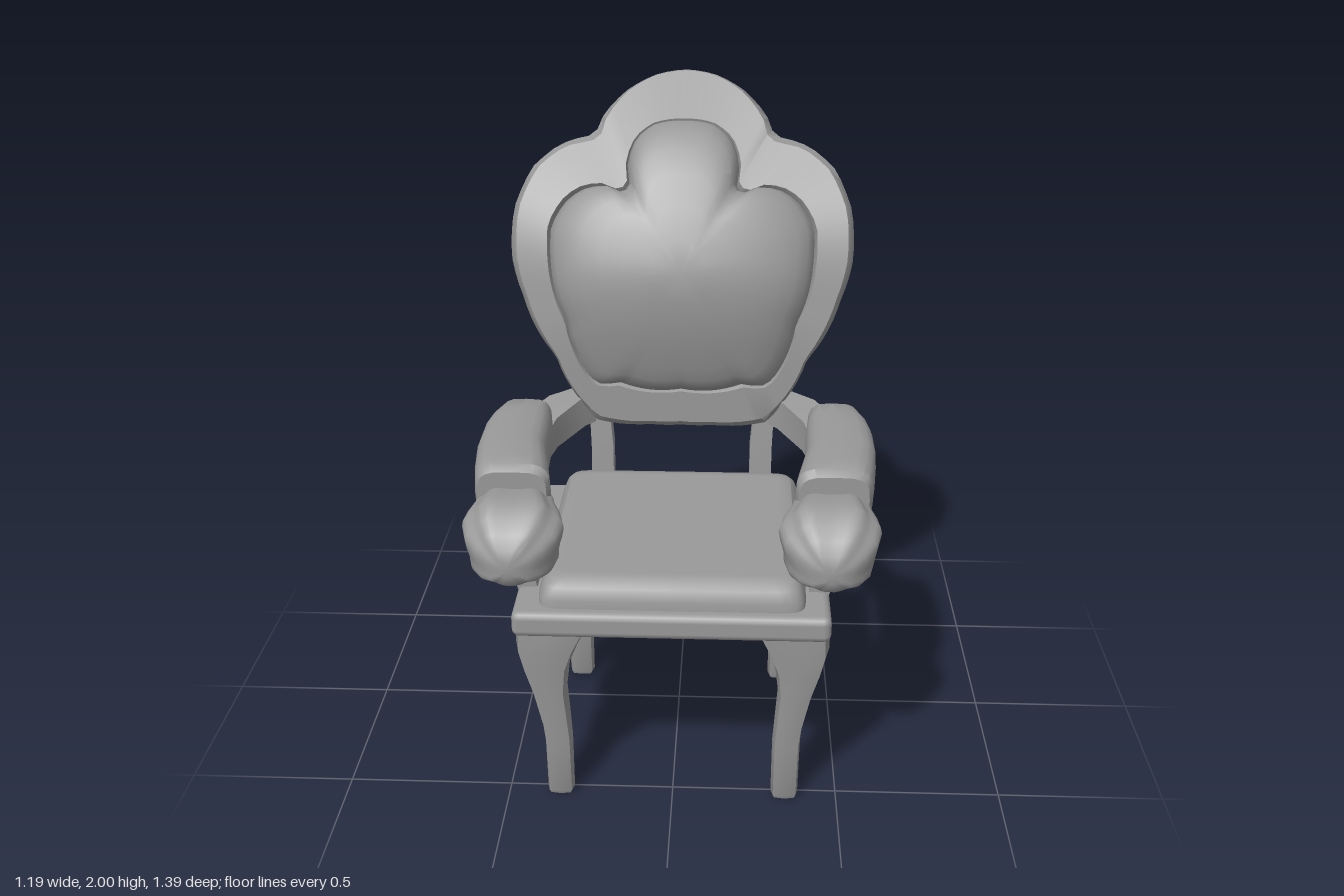
import * as THREE from 'three';
import { toCreasedNormals } from 'three/addons/utils/BufferGeometryUtils.js';
import { RoundedBoxGeometry } from 'three/addons/geometries/RoundedBoxGeometry.js';

const material = new THREE.MeshStandardMaterial({ color: 0x999999 });

function add(group, name, geometry) {
  const mesh = new THREE.Mesh(geometry, material);
  mesh.name = name;
  group.add(mesh);
}

// Skins a grid of rows (each row a closed ring of Vector3), skipping collapsed triangles
function skin(rows, crease = 0.6) {
  const pos = [];
  const tri = (a, b, c) => {
    const close = (p, q) => p.distanceToSquared(q) < 1e-10;
    if (!close(a, b) && !close(b, c) && !close(a, c)) for (const p of [a, b, c]) pos.push(p.x, p.y, p.z);
  };
  for (let i = 0; i + 1 < rows.length; i++) {
    const n = rows[i].length;
    for (let j = 0; j < n; j++) {
      const k = (j + 1) % n;
      tri(rows[i][j], rows[i][k], rows[i + 1][k]);
      tri(rows[i][j], rows[i + 1][k], rows[i + 1][j]);
    }
  }
  const g = new THREE.BufferGeometry();
  g.setAttribute('position', new THREE.Float32BufferAttribute(pos, 3));
  return toCreasedNormals(g, crease);
}

// Rounded-square outline: e = 1 is a circle, near 0 a square
function outline(n, e, lobes = 0) {
  return Array.from({ length: n }, (_, i) => {
    const t = (i / n) * Math.PI * 2;
    const f = (v) => (Math.abs(v) < 1e-6 ? 0 : Math.sign(v) * Math.abs(v) ** e);
    const r = 1 + lobes * Math.cos(7 * (t + Math.PI / 2));
    return [f(Math.cos(t)) * r, f(Math.sin(t)) * r];
  });
}

// Capped loft of sections [x, y, z, halfWidth, halfDepth], running along z or y
function loft(sections, shape, axis, side = 1, crease = 0.6) {
  const ring = ([x, y, z, w, h]) => shape.map(([a, b]) => (axis === 'z'
    ? new THREE.Vector3(side * x + a * w, y + b * h, z)
    : new THREE.Vector3(side * x + a * w, y, z - b * h)));
  const cap = ([x, y, z]) => ring([x, y, z, 0, 0]);
  return skin([cap(sections[0]), ...sections.map(ring), cap(sections.at(-1))], crease);
}

// Half outlines of the backrest, from top centre to bottom centre
const CENTRE = 1.42;
const OUTER = [[0, 1.925], [0.1, 1.912], [0.19, 1.875], [0.26, 1.82], [0.285, 1.77], [0.4, 1.745], [0.48, 1.69],
  [0.53, 1.59], [0.535, 1.46], [0.5, 1.35], [0.4, 1.165], [0.315, 1.0], [0.28, 0.95], [0.1, 0.935], [0, 0.935]];
const INNER = [[0, 1.785], [0.1, 1.775], [0.15, 1.745], [0.175, 1.69], [0.165, 1.63], [0.19, 1.615], [0.25, 1.635],
  [0.32, 1.625], [0.37, 1.595], [0.41, 1.54], [0.41, 1.45], [0.36, 1.28], [0.29, 1.1], [0.25, 1.075],
  [0.2, 1.09], [0.1, 1.065], [0, 1.07]];

// Radius of an outline at an angle measured from straight up
function radius(points, angle) {
  const polar = points.map(([x, y]) => [Math.atan2(x, y - CENTRE), Math.hypot(x, y - CENTRE)]);
  const i = Math.max(1, polar.findIndex((p) => p[0] >= angle - 1e-9));
  const [a0, r0] = polar[i - 1], [a1, r1] = polar[i];
  return r0 + (r1 - r0) * (angle - a0) / (a1 - a0);
}

// Places a point of the backrest on its backward-curving sheet, d in front of it
function bend(x, y, d) {
  const k = Math.max(0, y - 1.1), t = 2 * k ** 1.6, l = Math.hypot(1, t);
  return new THREE.Vector3(x, y + d * t / l, -0.21 - 0.77 * k ** 2.6 + d / l);
}

// Thickness factors: the frame swells towards its crest, the panel is domed
const step = THREE.MathUtils.smoothstep;
const crest = (x, y) => 1 + 0.45 * step(y, 1.3, 1.6) + 0.35 * step(y, 1.72, 1.92);
const dome = (x, y) => (0.62 + 0.44 * step(y, 1.08, 1.45)) * (1 - 1.8 * x * x);
const rear = (y) => 1 + 0.4 * step(y, 1.1, 1.35);

// Backrest surface from rings [u, d]: u 0..1 spans centre to inner outline, 1..2 inner to outer
function backSurface(rings, swell) {
  const N = 96;
  return skin(rings.map(([u, d]) => Array.from({ length: N }, (_, j) => {
    const t = (j / N) * Math.PI * 2;
    const a = Math.min(t, Math.PI * 2 - t);
    const inner = radius(INNER, a);
    const r = u <= 1 ? inner * u : inner + (radius(OUTER, a) - inner) * (u - 1);
    const x = r * Math.sin(t), y = CENTRE + r * Math.cos(a);
    return bend(x, y, d * (d > 0 ? swell(x, y) : rear(y)));
  })), 0.7);
}

export function createModel() {
  const chair = new THREE.Group();
  chair.name = 'armchair';
  const square = outline(8, 0.01), octagon = outline(8, 0.5), soft = outline(20, 0.55);

  // Seat board and cushion
  const board = new RoundedBoxGeometry(0.92, 0.08, 0.87, 2, 0.022);
  board.translate(0, 0.635, 0.183);
  add(chair, 'seatBoard', board);
  add(chair, 'seatCushion', loft([
    [0, 0.66, 0.18, 0.39, 0.405], [0, 0.7, 0.18, 0.388, 0.403], [0, 0.735, 0.18, 0.375, 0.39],
    [0, 0.753, 0.18, 0.36, 0.372], [0, 0.76, 0.18, 0.335, 0.345], [0, 0.76, 0.18, 0.32, 0.33],
  ], outline(32, 0.12), 'y'));

  // Backrest frame and padded panel
  add(chair, 'backFrame', backSurface([
    [1, 0.045], [1.08, 0.065], [1.85, 0.065], [2, 0.045], [2, -0.012], [1.92, -0.045],
    [1.7, -0.072], [1.35, -0.075], [1.1, -0.06], [1, -0.03], [1, 0.045],
  ], crest));
  add(chair, 'backCushion', backSurface([
    [0, 0.19], [0.2, 0.19], [0.4, 0.19], [0.6, 0.188], [0.75, 0.182], [0.87, 0.17], [0.95, 0.147], [1, 0.11],
    [1, -0.025], [0.9, -0.04], [0.75, -0.045], [0.5, -0.048], [0.25, -0.05], [0, -0.05],
  ], dome));

  for (const side of [1, -1]) {
    const label = side > 0 ? 'left' : 'right';

    // Curved legs
    for (const [end, z] of [['Front', 0.517], ['Rear', -0.153]]) {
      add(chair, label + end + 'Leg', loft([
        [0.342, 0, z, 0.035, 0.027], [0.342, 0.012, z, 0.041, 0.032], [0.344, 0.2, z, 0.042, 0.047],
        [0.349, 0.26, z, 0.043, 0.053], [0.366, 0.38, z, 0.052, 0.063], [0.374, 0.46, z, 0.07, 0.07],
        [0.37, 0.525, z, 0.092, 0.075], [0.35, 0.6, z, 0.112, 0.078],
      ], octagon, 'y', side));
    }

    // Posts carrying the arms and the backrest
    add(chair, label + 'ArmPost', loft([
      [0.42, 0.64, 0.42, 0.03, 0.037], [0.465, 0.79, 0.42, 0.032, 0.037], [0.485, 0.91, 0.42, 0.034, 0.037],
    ], square, 'y', side));
    add(chair, label + 'BackPost', loft([
      [0.26, 0.64, -0.21, 0.036, 0.034], [0.26, 0.84, -0.22, 0.036, 0.032],
      [0.265, 0.92, -0.228, 0.034, 0.032], [0.275, 1.0, -0.235, 0.03, 0.032],
    ], square, 'y', side));

    // Arm rail, pad and lobed hand rest
    add(chair, label + 'ArmRail', loft([
      [0.275, 0.985, -0.245, 0.05, 0.052], [0.37, 0.975, -0.17, 0.058, 0.052], [0.45, 0.95, -0.05, 0.06, 0.05],
      [0.485, 0.925, 0.08, 0.06, 0.044], [0.487, 0.92, 0.28, 0.06, 0.04], [0.46, 0.925, 0.47, 0.06, 0.045],
    ], square, 'z', side));
    add(chair, label + 'ArmPad', loft([
      [0.48, 0.985, -0.055, 0.065, 0.068], [0.482, 0.985, -0.03, 0.08, 0.088], [0.489, 0.985, 0.05, 0.095, 0.094],
      [0.492, 0.985, 0.13, 0.102, 0.096], [0.489, 0.985, 0.26, 0.105, 0.096], [0.469, 0.985, 0.4, 0.11, 0.095],
      [0.46, 0.985, 0.455, 0.11, 0.09], [0.46, 0.985, 0.478, 0.1, 0.072],
    ], soft, 'z', side));
    add(chair, label + 'HandRest', loft([
      [0.455, 0.945, 0.44, 0.105, 0.055], [0.45, 0.94, 0.49, 0.112, 0.07], [0.447, 0.922, 0.535, 0.13, 0.09],
      [0.445, 0.91, 0.58, 0.139, 0.102], [0.446, 0.888, 0.625, 0.124, 0.094], [0.447, 0.873, 0.66, 0.094, 0.078],
      [0.448, 0.862, 0.685, 0.058, 0.054], [0.449, 0.86, 0.695, 0.025, 0.025],
    ], outline(42, 0.75, 0.05), 'z', side, 1));
  }
  return chair;
}
